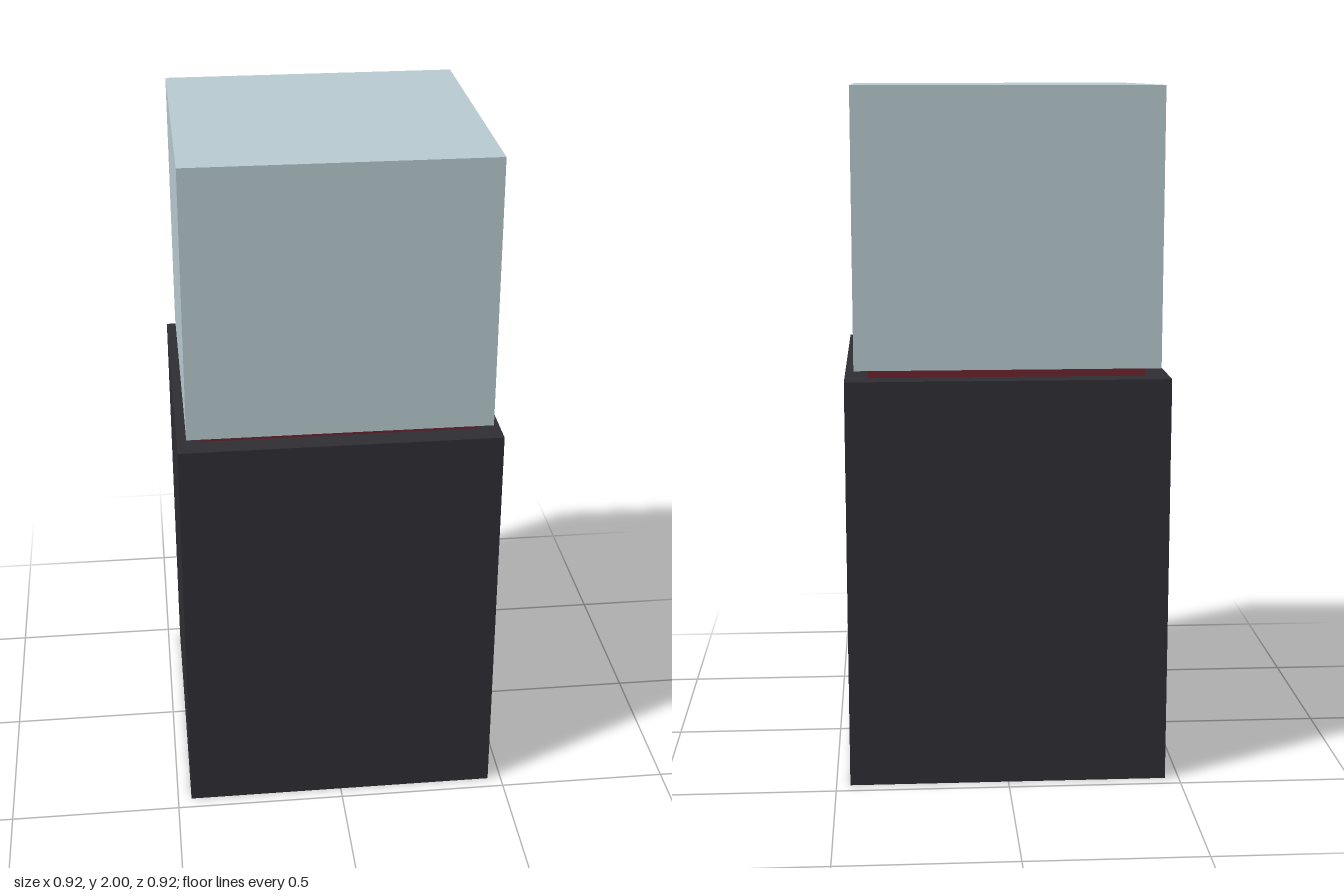
import * as THREE from 'three';

// Adds a square block standing on height y0 and reaching y1
function addBlock(group, name, width, y0, y1, color) {
  const mesh = new THREE.Mesh(
    new THREE.BoxGeometry(width, y1 - y0, width),
    new THREE.MeshStandardMaterial({ color })
  );
  mesh.name = name;
  mesh.position.y = (y0 + y1) / 2;
  group.add(mesh);
}

export function createModel() {
  const group = new THREE.Group();
  group.name = 'displayPedestal';

  // Dark plinth, recessed red display pad, pale case on top
  addBlock(group, 'plinth', 0.92, 0, 1.187, 0x302e34);
  addBlock(group, 'displayPad', 0.787, 1.187, 1.214, 0x702430);
  addBlock(group, 'displayCase', 0.867, 1.214, 2, 0xbacdd3);

  return group;
}
